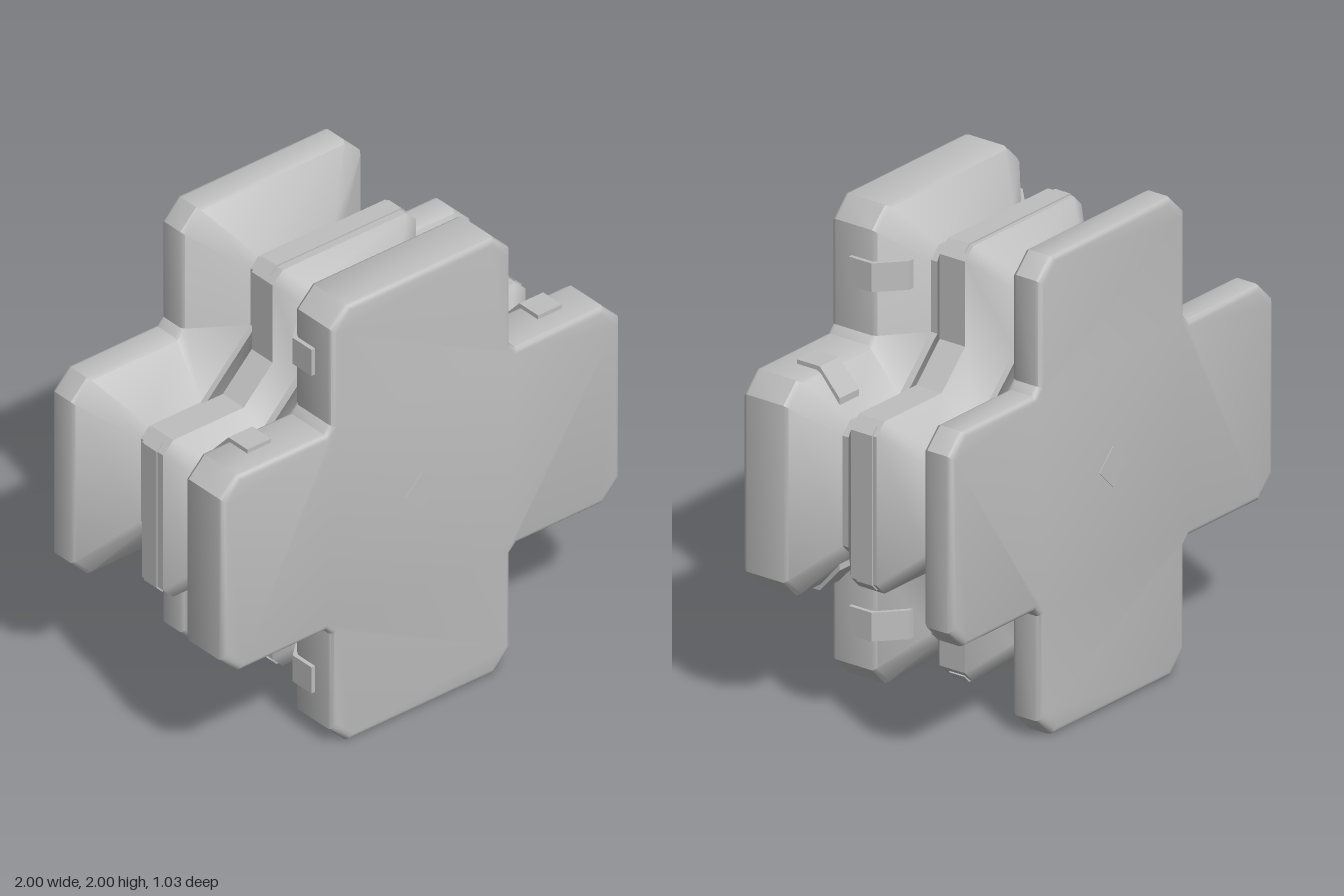
import * as THREE from 'three';
import { toCreasedNormals } from 'three/addons/utils/BufferGeometryUtils.js';

const grey = new THREE.MeshStandardMaterial({ color: 0xbebebe });
grey.name = 'grey';

// Cross outline: arm length l, arm half width w, tip chamfer c, inner corner cut k
function crossOutline(l, c, k) {
  const w = l - 0.55;
  const quarter = [[l, w - c], [l - c, w], [k, w], [w, k], [w, l - c], [w - c, l]];
  const pts = [];
  for (let q = 0; q < 4; q++) {
    for (const [x, y] of quarter) {
      pts.push([[x, y], [-y, x], [-x, -y], [y, -x]][q]);
    }
  }
  return pts;
}

// Body lofted through cross outlines from front to back
function bodyGeometry() {
  const r = 0.025, stations = [];
  const roundEdge = (z, dir) => [0, 30, 60, 90].map((deg) => {
    const a = THREE.MathUtils.degToRad(deg);
    const inset = r * (1 - Math.sin(a));
    return [z - dir * r * (1 - Math.cos(a)), 1 - inset, 0.08, 0.48 - inset * 0.4];
  });
  stations.push(
    ...roundEdge(0.513, 1),
    [0.31, 1, 0.08, 0.48], [0.292, 0.99, 0.08, 0.48],  // front slab
    [0.155, 0.83, 0.05, 0.48], [0.125, 0.83, 0.05, 0.48], // front groove
    [0.05, 0.91, 0.05, 0.505], [-0.075, 0.91, 0.05, 0.505], // middle rib
    [-0.212, 0.78, 0.04, 0.48], [-0.237, 0.78, 0.04, 0.48], // back groove
    [-0.378, 0.99, 0.08, 0.48], [-0.395, 1, 0.08, 0.48], // back slab
    ...roundEdge(-0.513, -1).reverse()
  );
  const pos = [], index = [], n = 24;
  for (const [z, l, c, k] of stations) {
    for (const [x, y] of crossOutline(l, c, k)) pos.push(x, y, z);
  }
  for (let s = 0; s < stations.length - 1; s++) {
    for (let i = 0; i < n; i++) {
      const a = s * n + i, b = s * n + (i + 1) % n;
      index.push(a, a + n, b, b, a + n, b + n);
    }
  }
  // end caps
  const [, l, c, k] = stations[0];
  const ring = crossOutline(l, c, k).map(([x, y]) => new THREE.Vector2(x, y));
  const last = (stations.length - 1) * n;
  for (const [a, b, d] of THREE.ShapeUtils.triangulateShape(ring, [])) {
    index.push(a, b, d, last + a, last + d, last + b);
  }
  const g = new THREE.BufferGeometry();
  g.setAttribute('position', new THREE.Float32BufferAttribute(pos, 3));
  g.setIndex(index);
  return toCreasedNormals(g, 0.6);
}

// Flat profile extruded by a width centred on its own plane
function plate(points, width) {
  const shape = new THREE.Shape(points.map(([x, y]) => new THREE.Vector2(x, y)));
  const g = new THREE.ExtrudeGeometry(shape, { depth: width, bevelEnabled: false });
  return g.translate(0, 0, -width / 2);
}

export function createModel() {
  const root = new THREE.Group();
  root.name = 'crossBlock';
  const model = new THREE.Group();
  model.name = 'body';
  model.position.y = 1;
  root.add(model);

  const add = (parent, geometry, name) => {
    const m = new THREE.Mesh(geometry, grey);
    m.name = name;
    parent.add(m);
    return m;
  };
  add(model, bodyGeometry(), 'crossShell');

  // clip bent over the front slab's inner edge; profile is drawn in (z, height)
  const clipGeo = plate([[0.41, 0.44], [0.41, 0.468], [0.298, 0.468],
    [0.2, 0.36], [0.2, 0.325], [0.29, 0.43]], 0.12);
  clipGeo.rotateY(-Math.PI / 2);

  // strip wrapped over the rib's tip
  const stripGeo = plate([[-0.33, 0.88], [0.33, 0.88], [0.345, 0.884], [0.313, 0.916],
    [-0.313, 0.916], [-0.345, 0.884]], 0.075);

  for (let i = 0; i < 4; i++) {
    const arm = new THREE.Group();
    arm.name = 'armDetails' + (i + 1);
    arm.rotation.z = i * Math.PI / 2;
    for (const side of [-1, 1]) {
      add(arm, clipGeo, 'clip').position.x = side * 0.73;
    }
    add(arm, stripGeo, 'ribStrip').position.z = -0.02;
    model.add(arm);
  }

  // thin diamonds on the front and back faces
  const diamondGeo = new THREE.BoxGeometry(0.12, 0.12, 0.008);
  for (const side of [-1, 1]) {
    const d = add(model, diamondGeo, side > 0 ? 'frontDiamond' : 'backDiamond');
    d.position.z = side * 0.513;
    d.rotation.z = Math.PI / 4;
  }
  return root;
}
